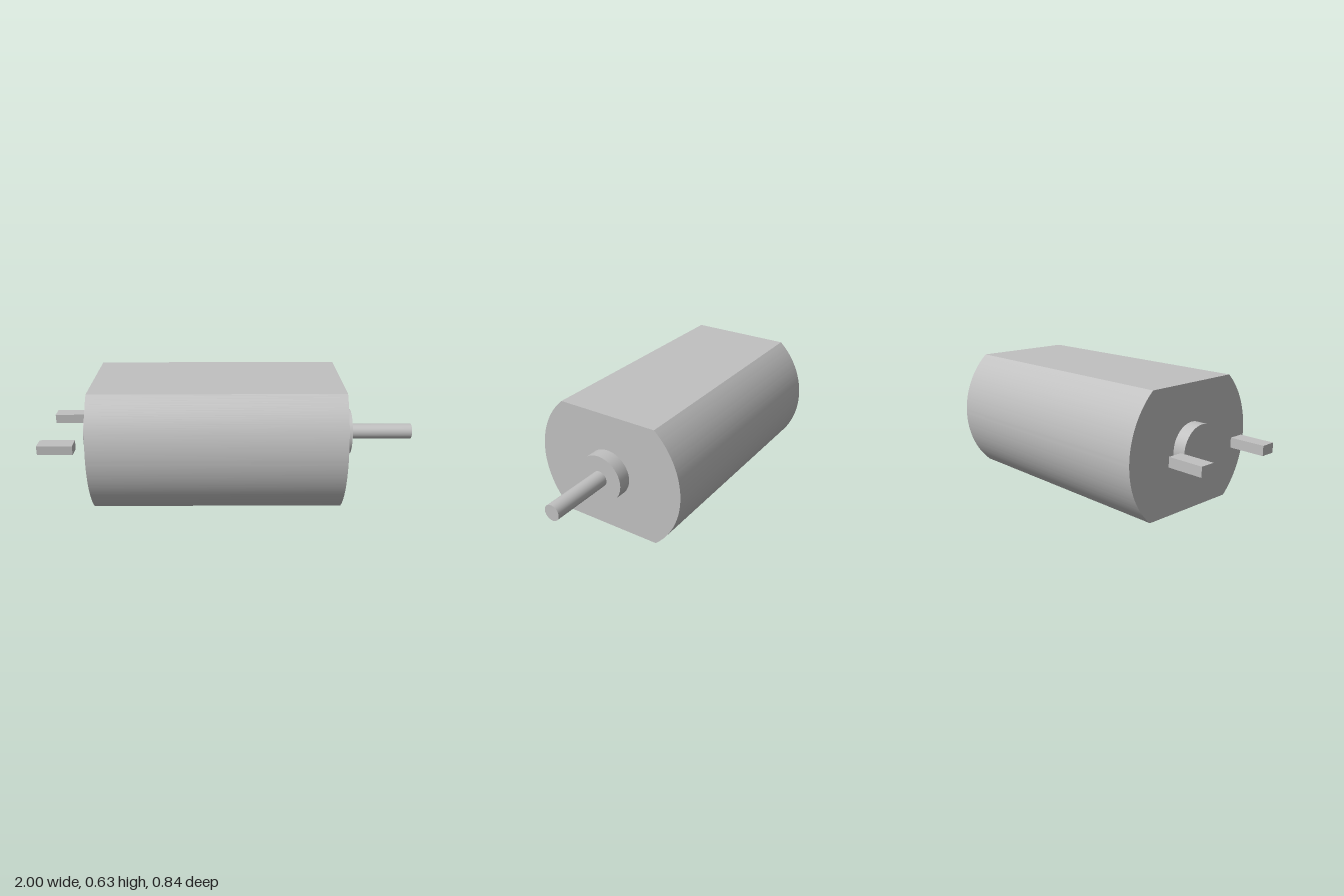
import * as THREE from 'three';
import { toCreasedNormals } from 'three/addons/utils/BufferGeometryUtils.js';

export function createModel() {
  const model = new THREE.Group();
  model.name = 'electricMotor';

  const metal = new THREE.MeshStandardMaterial({ color: 0xc0c0c0 });
  metal.name = 'greyMetal';

  const radius = 0.418;      // curved sides of the can
  const halfHeight = 0.315;  // flat top and bottom
  const axisY = halfHeight;

  function add(name, geometry, x, y = axisY, z = 0) {
    const mesh = new THREE.Mesh(geometry, metal);
    mesh.name = name;
    mesh.position.set(x, y, z);
    model.add(mesh);
  }

  // Round rod lying along x, from x0 to x1
  function addRod(name, r, x0, x1) {
    const geometry = new THREE.CylinderGeometry(r, r, x1 - x0, 64);
    geometry.rotateZ(-Math.PI / 2);
    add(name, geometry, (x0 + x1) / 2);
  }

  // Can: a circle cut flat above and below, extruded along x
  const a = Math.asin(halfHeight / radius);
  const section = new THREE.Shape();
  section.absarc(0, 0, radius, -a, a, false);
  section.absarc(0, 0, radius, Math.PI - a, Math.PI + a, false);
  section.closePath();
  const can = new THREE.ExtrudeGeometry(section, { depth: 1.31, bevelEnabled: false, curveSegments: 40 });
  can.rotateY(Math.PI / 2);
  add('motorCan', toCreasedNormals(can, 0.4), -0.72);

  // Bearing bosses and output shaft
  addRod('rearBoss', 0.124, -0.785, -0.72);
  addRod('frontBoss', 0.124, 0.59, 0.66);
  addRod('shaft', 0.041, 0.66, 1);

  // Pair of terminals standing clear of the rear end
  for (const side of [-1, 1]) {
    const name = side > 0 ? 'frontTerminal' : 'backTerminal';
    add(name, new THREE.BoxGeometry(0.185, 0.05, 0.08), -0.9075, 0.319, side * 0.225);
  }

  return model;
}
